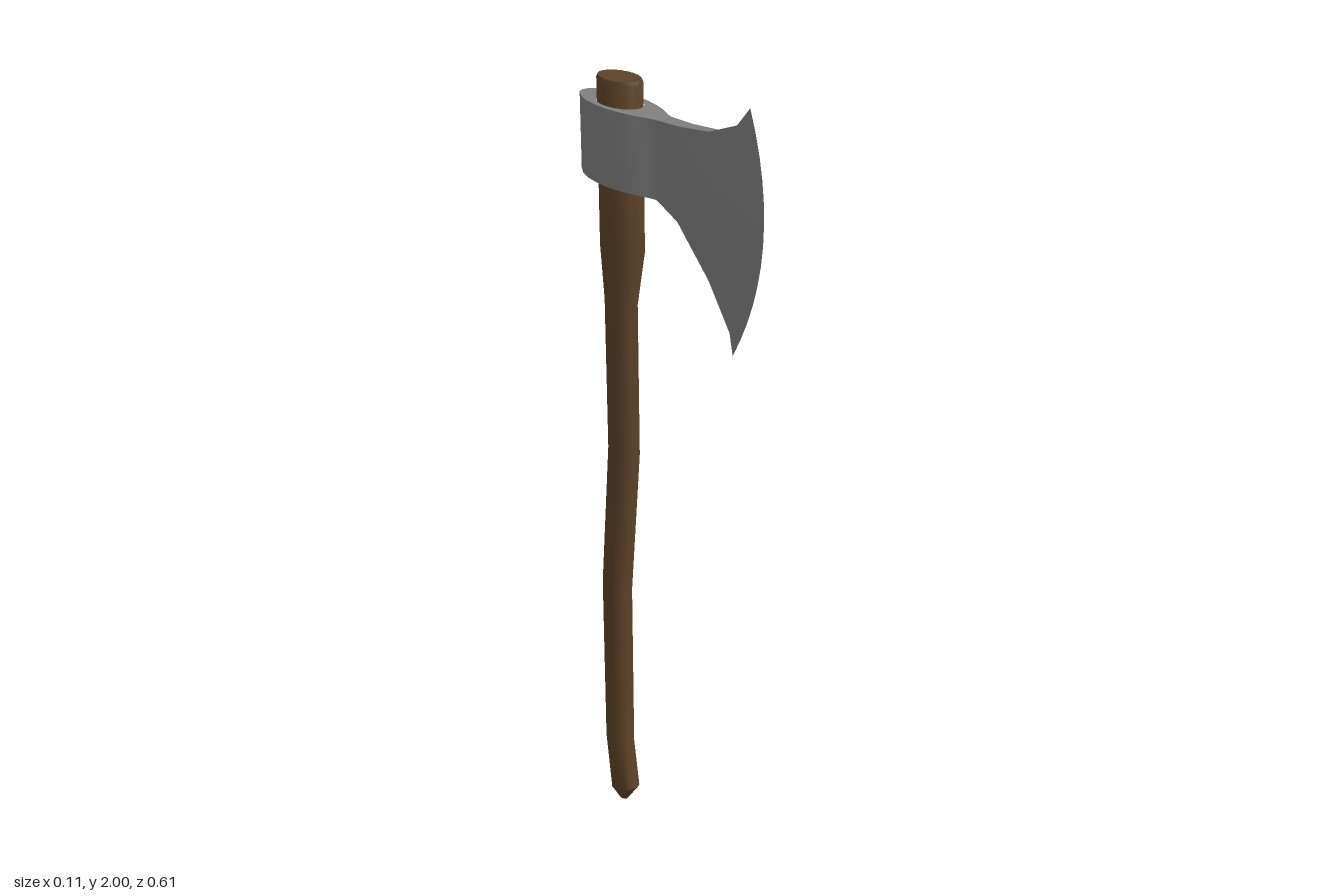
import * as THREE from 'three';
import { toCreasedNormals } from 'three/addons/utils/BufferGeometryUtils.js';

// Skin closed rings of [x, y, z] points into one surface.
function loft(rings, crease) {
  const n = rings[0].length, index = [];
  for (let i = 0; i < rings.length - 1; i++) {
    for (let j = 0; j < n; j++) {
      const a = i * n + j, b = i * n + (j + 1) % n;
      index.push(a, b, b + n, a, b + n, a + n);
    }
  }
  const g = new THREE.BufferGeometry();
  g.setAttribute('position', new THREE.Float32BufferAttribute(rings.flat(2), 3));
  g.setIndex(index);
  return toCreasedNormals(g, crease);
}

function handleGeometry() {
  // [y, centre z, x radius, z radius, tilt of the ring]
  const sections = [
    [0.003, -0.206, 0.0005, 0.0005, 0],
    [0.005, -0.206, 0.01, 0.015, 0.1],
    [0.05, -0.197, 0.031, 0.047, 0.42],
    [0.2, -0.218, 0.031, 0.047, 0],
    [0.68, -0.218, 0.031, 0.047, 0],
    [1.08, -0.18, 0.031, 0.048, 0],
    [1.46, -0.182, 0.031, 0.048, 0],
    [1.59, -0.174, 0.041, 0.064, 0],
    [1.965, -0.174, 0.041, 0.064, 0],
    [1.972, -0.174, 0.038, 0.061, 0],
    [1.972, -0.174, 0.0005, 0.0005, 0],
  ];
  const sides = 20;
  const rings = sections.map(([y, z, rx, rz, tilt]) =>
    Array.from({ length: sides }, (_, j) => {
      const a = (j / sides) * Math.PI * 2, dz = rz * Math.cos(a);
      return [rx * Math.sin(a), y + tilt * dz, z + dz];
    }));
  return loft(rings, 0.6);
}

function eyeGeometry() {
  // Half outline in plan, from the poll at the back to the neck: [x, z]
  const half = [
    [0.008, -0.305], [0.02, -0.296], [0.037, -0.266], [0.049, -0.23], [0.054, -0.185],
    [0.054, -0.15], [0.047, -0.107], [0.037, -0.068], [0.025, -0.04], [0.02, -0.02],
  ];
  const outline = [...half, ...half.map(([x, z]) => [-x, z]).reverse()];
  const shape = new THREE.Shape(outline.map(([x, z]) => new THREE.Vector2(x, -z)));
  shape.holes.push(new THREE.Path().absellipse(0, 0.174, 0.042, 0.066, 0, Math.PI * 2, true));
  const g = new THREE.ExtrudeGeometry(shape, { depth: 0.17, bevelEnabled: false, curveSegments: 12 });
  g.rotateX(-Math.PI / 2).translate(0, 1.747, 0);
  return toCreasedNormals(g, 0.5);
}

function bladeGeometry() {
  // Columns from neck to edge: [top z, top y, bottom z, bottom y, forward bow, half thickness]
  const columns = [
    [-0.02, 1.917, -0.02, 1.747, 0, 0.02],
    [0.053, 1.92, 0.048, 1.717, 0.004, 0.017],
    [0.143, 1.93, 0.148, 1.617, 0.015, 0.012],
    [0.222, 1.96, 0.212, 1.52, 0.035, 0.006],
    [0.254, 2.0, 0.217, 1.468, 0.068, 0.0004],
  ];
  const rows = 12;
  const rings = columns.map(([zt, yt, zb, yb, bow, w]) => {
    const right = Array.from({ length: rows + 1 }, (_, k) => {
      const t = k / rows;
      return [w, yb + (yt - yb) * t, zb + (zt - zb) * t + bow * 4 * t * (1 - t)];
    });
    return [...right, ...right.map(([x, y, z]) => [-x, y, z]).reverse()];
  });
  return loft(rings, 0.5);
}

export function createModel() {
  const wood = new THREE.MeshStandardMaterial({ color: 0x5c4228 });
  const steel = new THREE.MeshStandardMaterial({ color: 0x808080 });
  const add = (parent, name, geometry, material) => {
    const mesh = new THREE.Mesh(geometry, material);
    mesh.name = name;
    parent.add(mesh);
  };

  const axe = new THREE.Group();
  axe.name = 'axe';
  add(axe, 'handle', handleGeometry(), wood);

  const head = new THREE.Group();
  head.name = 'axeHead';
  add(head, 'eye', eyeGeometry(), steel);
  add(head, 'blade', bladeGeometry(), steel);
  axe.add(head);
  return axe;
}
